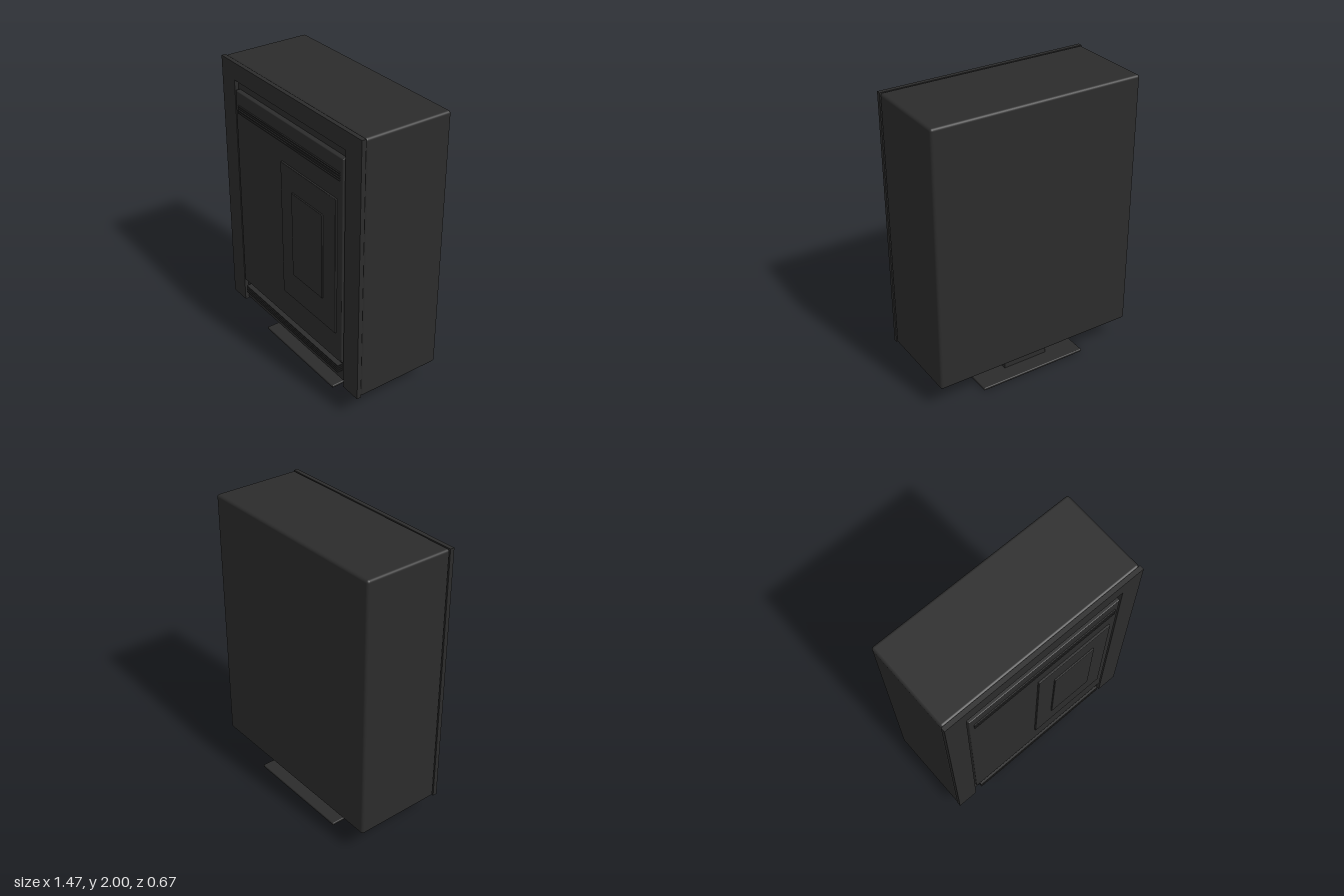
import * as THREE from 'three';
import { RoundedBoxGeometry } from 'three/addons/geometries/RoundedBoxGeometry.js';

export function createModel() {
  const model = new THREE.Group();
  model.name = 'slabCabinet';
  const charcoal = new THREE.MeshStandardMaterial({ color: 0x2b2b2b });
  charcoal.name = 'charcoal';

  // Box given by its limits on each axis, with optional rounded edges
  function slab(name, [x0, x1], [y0, y1], [z0, z1], radius = 0, parent = model) {
    const size = [x1 - x0, y1 - y0, z1 - z0];
    const geometry = radius
      ? new RoundedBoxGeometry(...size, 3, radius)
      : new THREE.BoxGeometry(...size);
    const mesh = new THREE.Mesh(geometry, charcoal);
    mesh.name = name;
    mesh.position.set((x0 + x1) / 2, (y0 + y1) / 2, (z0 + z1) / 2);
    parent.add(mesh);
    return mesh;
  }

  // Main housing
  slab('housing', [-0.735, 0.735], [0.18, 2], [-0.335, 0.28], 0.018);

  // Front surround, open at the bottom
  const outline = new THREE.Shape();
  [[-0.737, 0.178], [-0.59, 0.178], [-0.59, 1.88], [0.59, 1.88],
    [0.59, 0.178], [0.737, 0.178], [0.737, 2], [-0.737, 2]]
    .forEach(([x, y], i) => (i ? outline.lineTo(x, y) : outline.moveTo(x, y)));
  outline.closePath();
  const surround = new THREE.Mesh(
    new THREE.ExtrudeGeometry(outline, { depth: 0.03, bevelEnabled: false }), charcoal);
  surround.name = 'frontSurround';
  surround.position.z = 0.278;
  model.add(surround);

  // Stacked front panels
  slab('frontPanel', [-0.578, 0.573], [0.36, 1.817], [0.27, 0.312], 0.006);
  slab('doorPanel', [-0.055, 0.52], [0.57, 1.537], [0.3, 0.325], 0.004);
  slab('doorInset', [0.073, 0.395], [0.77, 1.375], [0.31, 0.335], 0.004);

  // Ventilation slats above and below
  for (const [name, bottom] of [['upperVent', 1.668], ['lowerVent', 0.27]]) {
    const vent = new THREE.Group();
    vent.name = name;
    for (let i = 0; i < 4; i++) {
      const y = bottom + i * 0.016;
      slab('ventSlat', [-0.545, 0.545], [y, y + 0.008], [0.275, 0.32], 0, vent);
    }
    model.add(vent);
  }

  // Pedestal and floor plate
  slab('pedestal', [-0.168, 0.165], [0.015, 0.128], [-0.19, 0.143]);
  slab('floorPlate', [-0.398, 0.395], [0, 0.02], [-0.3, 0.25], 0.006);

  return model;
}
